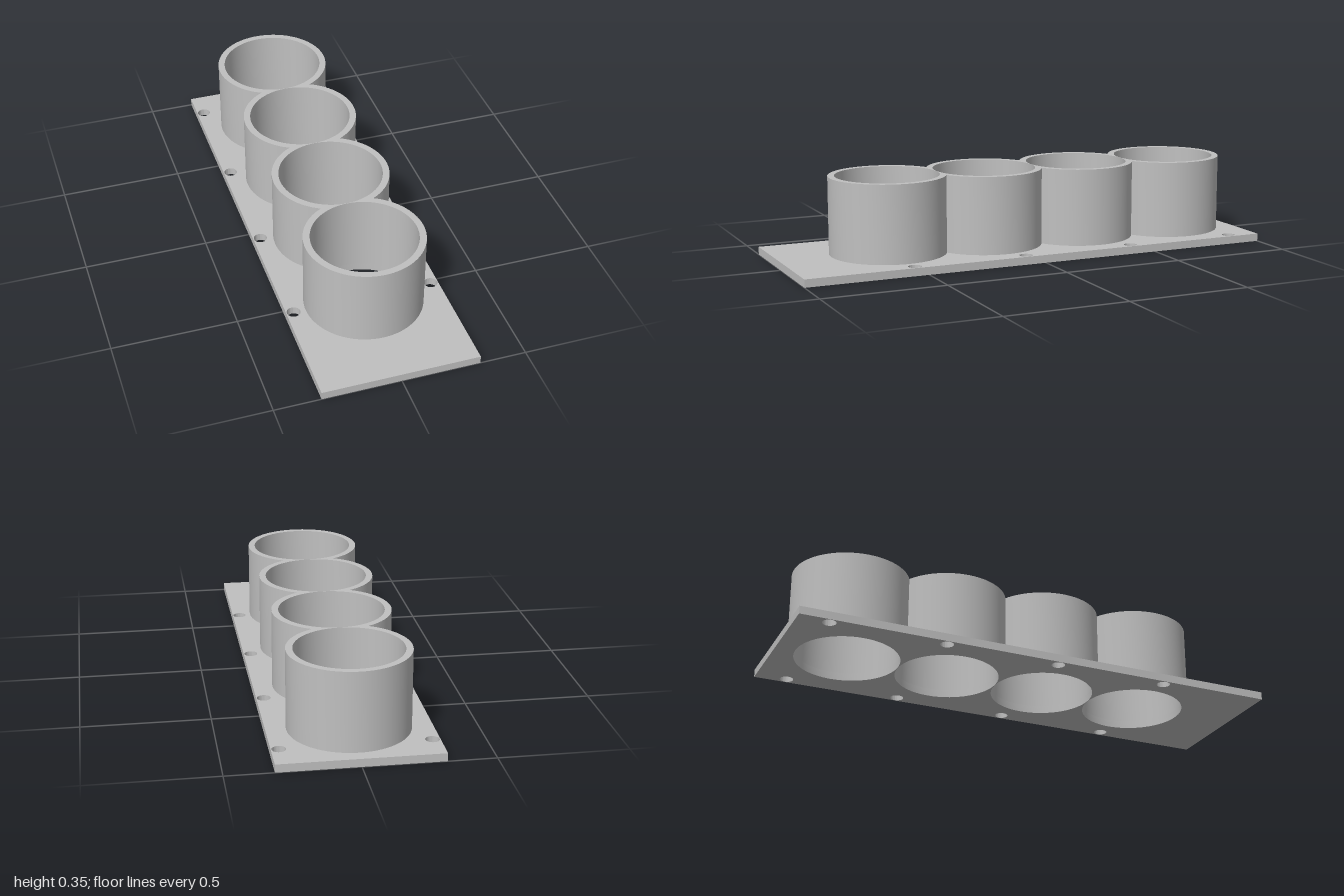
import * as THREE from 'three';
import { toCreasedNormals } from 'three/addons/utils/BufferGeometryUtils.js';

const HALF_WIDTH = 0.315, HALF_LENGTH = 1;
const PLATE_TOP = 0.032, CUP_TOP = 0.348;
const OUTER_R = 0.237, INNER_R = 0.21, PITCH = 0.4213;
const CUPS = [0, 1, 2, 3].map(i => 0.553 - i * PITCH); // z of each cup centre
const SCREW_R = 0.027, SCREW_X = 0.285;
const SCREWS = [0, 1, 2, 3].map(i => 0.548 - i * 0.474); // z of each screw pair

// Shapes are drawn in plan with y = -z, then laid flat.
function circle(x, z, r) {
  return new THREE.Path().absarc(x, -z, r, 0, Math.PI * 2);
}

function slab(shape, bottom, top) {
  const geometry = new THREE.ExtrudeGeometry(shape, {
    depth: top - bottom, bevelEnabled: false, curveSegments: 36
  });
  geometry.rotateX(-Math.PI / 2).translate(0, bottom, 0);
  return toCreasedNormals(geometry, 0.5);
}

// Scalloped outline around the four overlapping cups, counterclockwise.
function cupOutline() {
  const cusp = Math.asin(PITCH / 2 / OUTER_R), steps = 36, points = [];
  const arc = (z, from, to) => {
    for (let i = 0; i < steps; i++) {
      const a = from + (to - from) * i / steps;
      points.push(new THREE.Vector2(OUTER_R * Math.cos(a), -z + OUTER_R * Math.sin(a)));
    }
  };
  const last = CUPS.length - 1;
  CUPS.forEach((z, i) => arc(z, i === 0 ? -Math.PI / 2 : -cusp, i === last ? Math.PI / 2 : cusp));
  for (let i = last; i >= 0; i--) {
    arc(CUPS[i], Math.PI - (i === last ? Math.PI / 2 : cusp), Math.PI + (i === 0 ? Math.PI / 2 : cusp));
  }
  return new THREE.Shape(points);
}

export function createModel() {
  const group = new THREE.Group();
  group.name = 'cupHolderRack';
  const grey = new THREE.MeshStandardMaterial({ color: 0xc0c0c0 });
  grey.name = 'grey';

  // Base plate with cup openings and screw holes
  const plate = new THREE.Shape([
    new THREE.Vector2(-HALF_WIDTH, -HALF_LENGTH), new THREE.Vector2(HALF_WIDTH, -HALF_LENGTH),
    new THREE.Vector2(HALF_WIDTH, HALF_LENGTH), new THREE.Vector2(-HALF_WIDTH, HALF_LENGTH)
  ]);
  const openings = CUPS.map(z => circle(0, z, INNER_R));
  const screwHoles = SCREWS.flatMap(z => [-1, 1].map(s => circle(s * SCREW_X, z, SCREW_R)));
  plate.holes.push(...openings, ...screwHoles);
  const base = new THREE.Mesh(slab(plate, 0, PLATE_TOP), grey);
  base.name = 'basePlate';

  // Joined cup walls, open at both ends
  const walls = cupOutline();
  walls.holes.push(...openings);
  const cups = new THREE.Mesh(slab(walls, PLATE_TOP, CUP_TOP), grey);
  cups.name = 'cupWalls';

  group.add(base, cups);
  return group;
}
